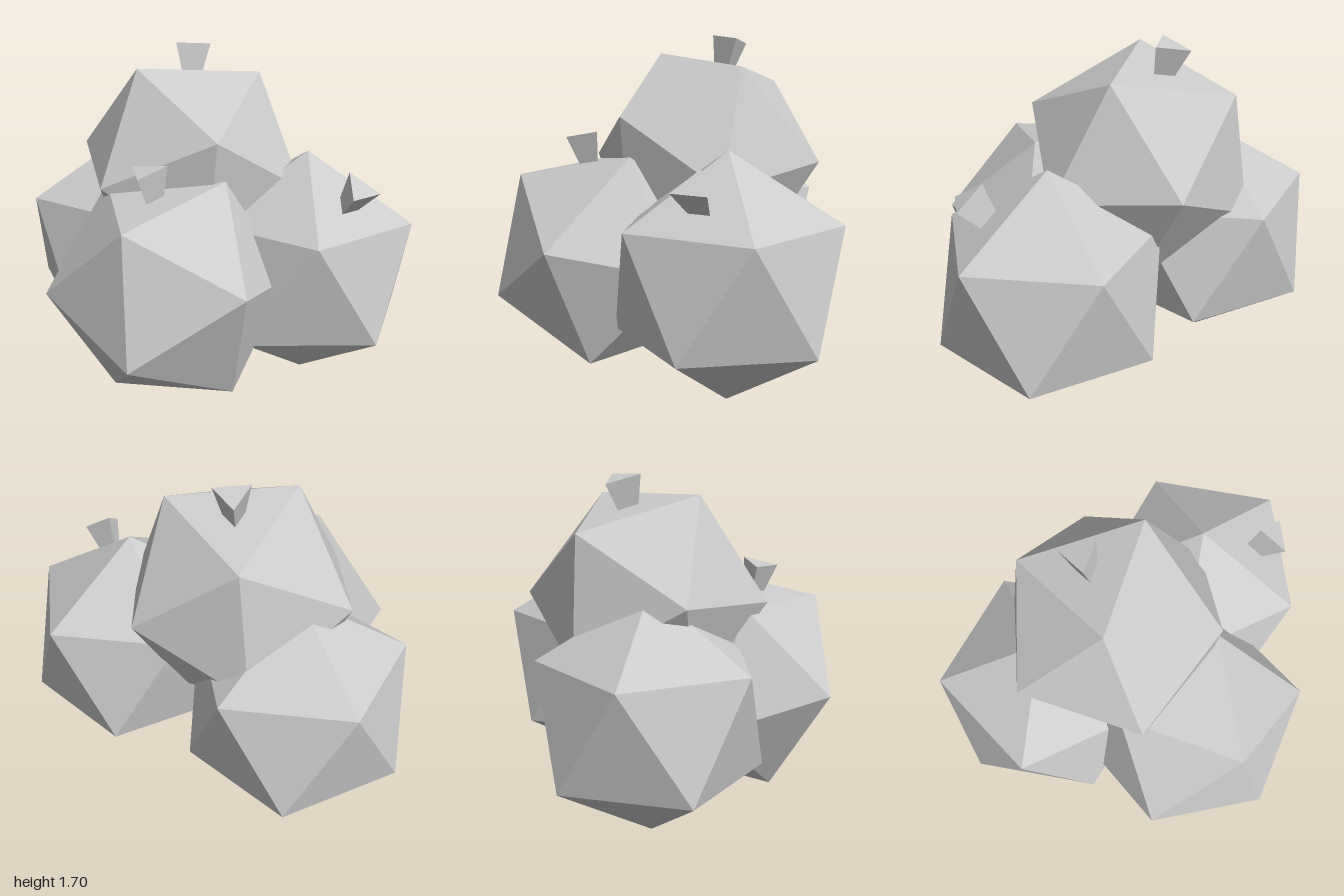
import * as THREE from 'three';

const RADIUS = 0.6;
const material = new THREE.MeshStandardMaterial({ color: 0xcccccc, flatShading: true });
const vec = (a) => new THREE.Vector3(...a);

// Rotation frame whose y axis is `up`, with `side` lying in its x-y plane
function frame(up, side) {
  const y = up.clone().normalize();
  const z = side.clone().cross(y).normalize();
  const x = y.clone().cross(z);
  return new THREE.Matrix4().makeBasis(x, y, z);
}

// Twenty-sided body turned so that one corner points along `up` and a neighbouring one along `side`
function bodyGeometry(up, side) {
  const t = (1 + Math.sqrt(5)) / 2;
  const source = frame(vec([-1, t, 0]), vec([1, t, 0]));
  const turn = frame(vec(up), vec(side)).multiply(source.transpose());
  return new THREE.IcosahedronGeometry(RADIUS, 0).applyMatrix4(turn);
}

// Flared three-sided stem standing on the face nearest to `direction`, aligned with its corners
function stemMesh(geometry, direction) {
  const pos = geometry.attributes.position;
  const dir = vec(direction).normalize();
  let best = null;
  for (let i = 0; i < pos.count; i += 3) {
    const corner = new THREE.Vector3().fromBufferAttribute(pos, i);
    const centre = corner.clone();
    for (const k of [1, 2]) centre.add(new THREE.Vector3().fromBufferAttribute(pos, i + k));
    centre.divideScalar(3);
    const score = centre.dot(dir);
    if (!best || score > best.score) best = { score, centre, corner };
  }
  const y = best.centre.clone().normalize();
  const z = best.corner.clone().sub(best.centre).normalize();
  const x = y.clone().cross(z);

  const stem = new THREE.CylinderGeometry(0.104, 0.056, 0.165, 3);
  stem.translate(0, 0.0625, 0);
  stem.applyMatrix4(new THREE.Matrix4().makeBasis(x, y, z).setPosition(best.centre));
  return new THREE.Mesh(stem, material);
}

export function createModel() {
  const model = new THREE.Group();
  model.name = 'fruitPile';

  const upright = { up: [0, 1, 0], side: [2, 1, 0] };
  const fruits = [
    { name: 'frontFruit', at: [0.33, 0.6, 0.49], ...upright, stem: [-0.19, 0.79, 0.58] },
    { name: 'backFruit', at: [0.14, 0.6, -0.49], ...upright },
    { name: 'rightFruit', at: [-0.328, 0.598, 0.105], up: [0.165, 0.534, 0.22],
      side: [-0.435, 0.404, 0.06], stem: [-0.12, 0.6, -0.05] },
    { name: 'topFruit', at: [0.143, 1.075, -0.102], up: [0.213, 0.49, 0.282],
      side: [-0.253, 0.52, -0.148], stem: [0.21, 0.97, -0.13] },
  ];

  for (const { name, at, up, side, stem } of fruits) {
    const fruit = new THREE.Group();
    fruit.name = name;
    fruit.position.set(...at);

    const body = new THREE.Mesh(bodyGeometry(up, side), material);
    body.name = name + 'Body';
    fruit.add(body);

    if (stem) {
      const stalk = stemMesh(body.geometry, stem);
      stalk.name = name + 'Stem';
      fruit.add(stalk);
    }
    model.add(fruit);
  }
  return model;
}
